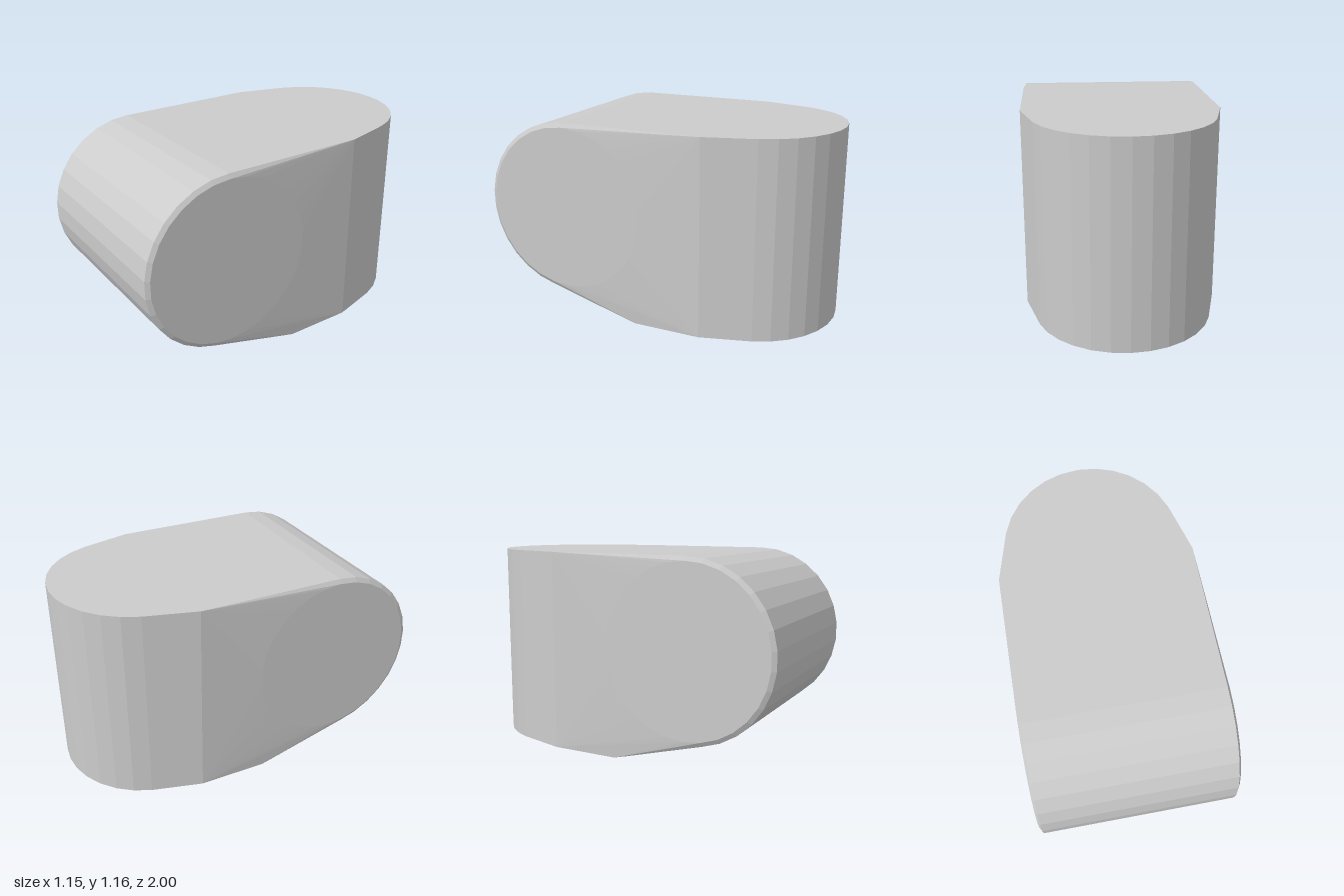
import * as THREE from 'three';
import { ConvexGeometry } from 'three/addons/geometries/ConvexGeometry.js';

const STEP = Math.PI / 15; // 30-sided rounds
const HEIGHT = 1.16, HALF_WIDTH = 0.56;

export function createModel() {
  const points = [];
  const add = (x, y, z) => points.push(new THREE.Vector3(x, y, z));

  // Horizontal front roll, with a small chamfer around each end cap
  for (const side of [-1, 1]) {
    for (const [x, r] of [[HALF_WIDTH, 0.51], [0.575, 0.485]]) {
      for (let i = 0; i < 30; i++) {
        add(side * x, 0.65 + r * Math.cos(i * STEP), 0.49 + r * Math.sin(i * STEP));
      }
    }
  }

  // Upright rounded back and the straight side corners where it begins
  for (const y of [0, HEIGHT]) {
    for (let i = -6; i <= 6; i++) {
      add(0.505 * Math.sin(i * STEP), y, -0.495 - 0.505 * Math.cos(i * STEP));
    }
    for (const side of [-1, 1]) add(side * HALF_WIDTH, y, -0.36);
  }

  // Shallow arc at the front of the flat underside
  const reach = Math.asin(HALF_WIDTH / 0.78);
  for (let i = -8; i <= 8; i++) {
    const a = (i / 8) * reach;
    add(0.78 * Math.sin(a), 0, -0.5 + 0.78 * Math.cos(a));
  }

  // Taut skin around all the rounds
  const body = new THREE.Mesh(
    new ConvexGeometry(points),
    new THREE.MeshStandardMaterial({ color: 0xcccccc, flatShading: true })
  );
  body.name = 'roundedBlockBody';

  const group = new THREE.Group();
  group.name = 'roundedBlock';
  group.add(body);
  return group;
}
